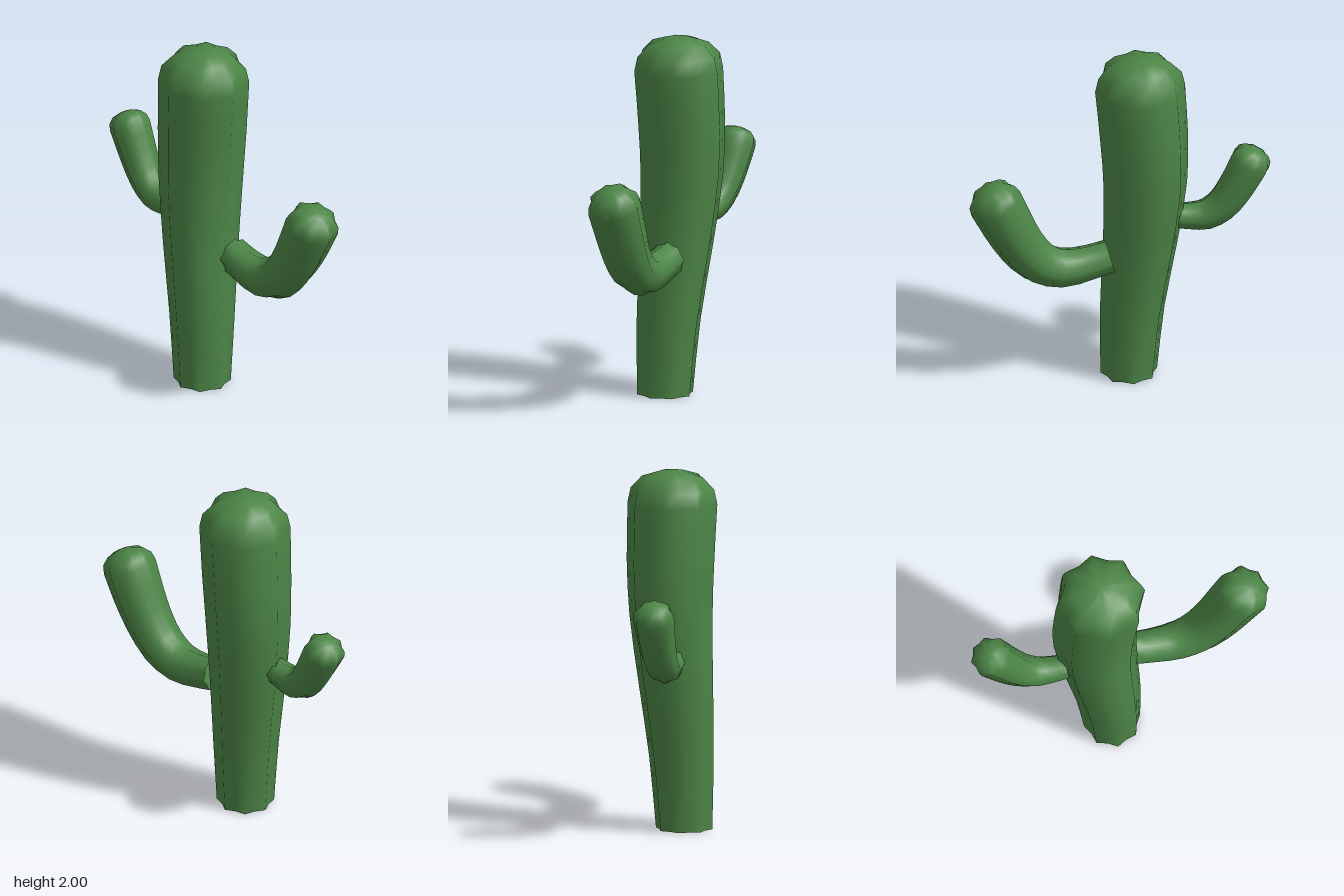
import * as THREE from 'three';

const LOBES = 8;
const VALLEY = 0.87;
// dome profile: [rise, width] as fractions of the last radius
const DOME = [[0.32, 0.93], [0.58, 0.68], [0.7, 0.3]];

// Ribbed limb swept through sections [x, y, z, radius], closed by a dome
function limbGeometry(sections, steps, upright) {
  const path = new THREE.CatmullRomCurve3(sections.map(s => new THREE.Vector3(s[0], s[1], s[2])));
  const radii = new THREE.CatmullRomCurve3(sections.map(s => new THREE.Vector3(s[3], 0, 0)));
  const n = LOBES * 2;
  const pos = [], index = [];

  const addRing = (c, t, r) => {
    const b = new THREE.Vector3(0, 0, 1).addScaledVector(t, -t.z).normalize();
    const side = new THREE.Vector3().crossVectors(b, t);
    const first = pos.length / 3;
    for (let j = 0; j < n; j++) {
      const a = j / n * Math.PI * 2;
      const q = r * (j % 2 ? VALLEY : 1);
      const p = c.clone().addScaledVector(side, Math.cos(a) * q).addScaledVector(b, Math.sin(a) * q);
      pos.push(p.x, p.y, p.z);
    }
    return first;
  };
  const addCap = (ring, c, flip) => {
    const k = pos.length / 3;
    pos.push(c.x, c.y, c.z);
    for (let j = 0; j < n; j++) {
      const p = ring + j, q = ring + (j + 1) % n;
      index.push(k, flip ? q : p, flip ? p : q);
    }
  };

  // body rings
  const rings = [];
  const up = new THREE.Vector3(0, 1, 0);
  let c, t, r;
  for (let i = 0; i <= steps; i++) {
    const u = i / steps;
    c = path.getPoint(u);
    t = upright ? up : path.getTangent(u);
    r = radii.getPoint(u).x;
    rings.push(addRing(c, t, r));
  }
  // dome rings
  for (const [rise, width] of DOME) rings.push(addRing(c.clone().addScaledVector(t, r * rise), t, r * width));
  for (let i = 0; i < rings.length - 1; i++) {
    for (let j = 0; j < n; j++) {
      const k = (j + 1) % n;
      const a = rings[i] + j, b = rings[i] + k, d = rings[i + 1] + j, e = rings[i + 1] + k;
      index.push(a, b, e, a, e, d);
    }
  }
  addCap(rings[rings.length - 1], c.clone().addScaledVector(t, r * 0.72), false);

  // flat end with its own vertices, so its rim stays sharp
  const c0 = path.getPoint(0);
  const t0 = upright ? up : path.getTangent(0);
  addCap(addRing(c0, t0, sections[0][3]), c0, true);

  const g = new THREE.BufferGeometry();
  g.setAttribute('position', new THREE.Float32BufferAttribute(pos, 3));
  g.setIndex(index);
  g.computeVertexNormals();
  return g;
}

export function createModel() {
  const group = new THREE.Group();
  group.name = 'cactus';
  const green = new THREE.MeshStandardMaterial({ color: 0x4c8546 });
  green.name = 'cactus green';

  const addLimb = (name, sections, steps, upright = false) => {
    const mesh = new THREE.Mesh(limbGeometry(sections, steps, upright), green);
    mesh.name = name;
    group.add(mesh);
  };

  // trunk, leaning back and swelling towards the top
  addLimb('trunk', [
    [-0.065, 0, 0.06, 0.157],
    [-0.082, 0.4, 0.048, 0.18],
    [-0.12, 0.8, 0.025, 0.207],
    [-0.147, 1.2, 0.002, 0.232],
    [-0.14, 1.5, -0.002, 0.244],
    [-0.118, 1.82, 0.005, 0.25],
  ], 10, true);

  // larger arm
  addLimb('leftArm', [
    [0.06, 0.8, -0.045, 0.095],
    [0.18, 0.77, -0.046, 0.1],
    [0.33, 0.757, -0.052, 0.113],
    [0.46, 0.815, -0.062, 0.125],
    [0.555, 0.93, -0.072, 0.133],
    [0.63, 1.07, -0.08, 0.142],
    [0.7, 1.22, -0.082, 0.149],
  ], 12);

  // smaller arm
  addLimb('rightArm', [
    [-0.315, 0.97, 0.042, 0.072],
    [-0.4, 0.96, 0.04, 0.078],
    [-0.49, 0.965, 0.034, 0.088],
    [-0.575, 1.02, 0.026, 0.096],
    [-0.64, 1.11, 0.02, 0.104],
    [-0.69, 1.2, 0.017, 0.11],
    [-0.733, 1.285, 0.016, 0.115],
  ], 12);

  return group;
}
